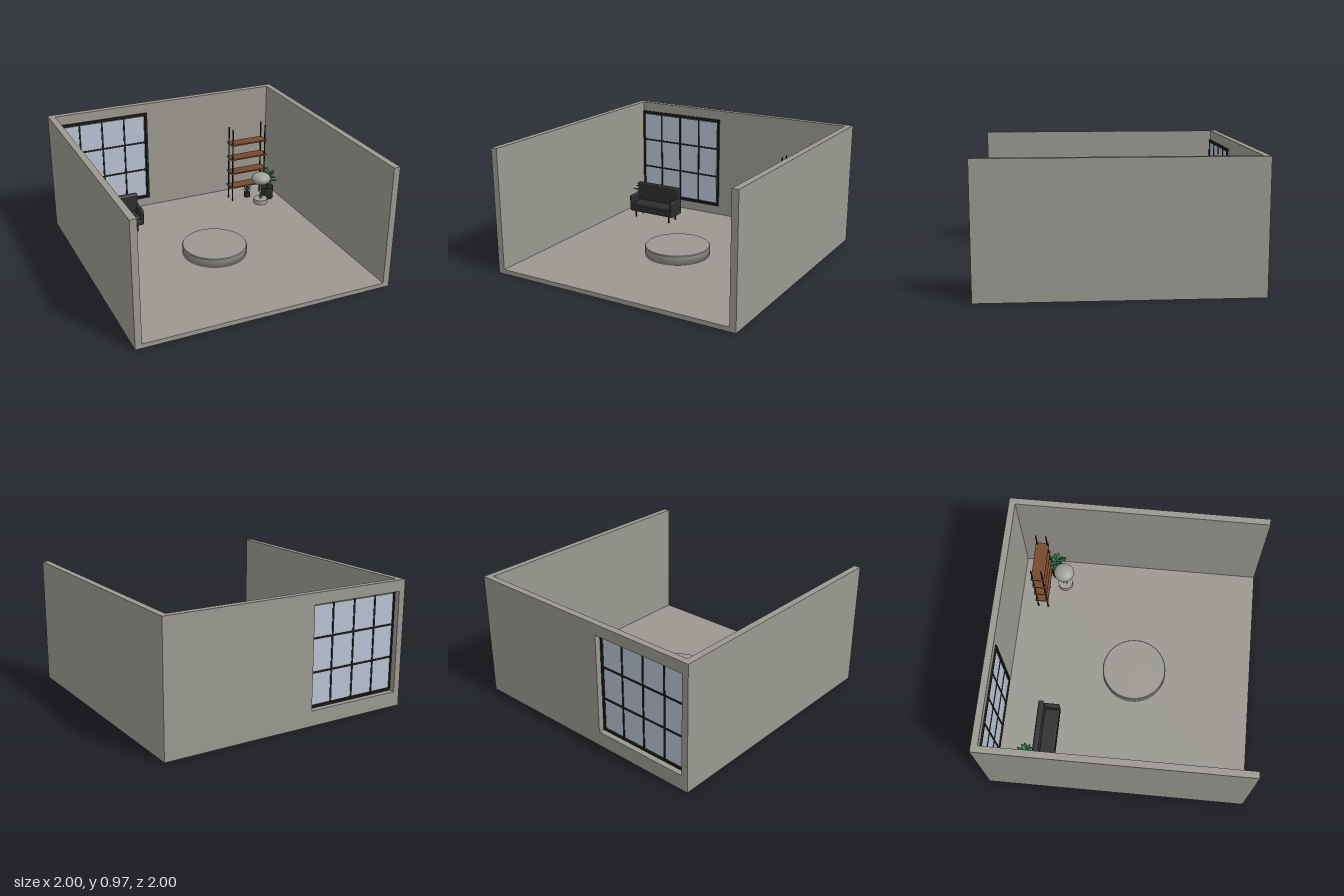
import * as THREE from 'three';
import { RoundedBoxGeometry } from 'three/addons/geometries/RoundedBoxGeometry.js';

const mat = (name, color) => Object.assign(new THREE.MeshStandardMaterial({ color }), { name });

export function createModel() {
  const concrete = mat('concrete', 0x9a9890);
  const glass = mat('paleGlass', 0xb8c2d3);
  const black = mat('blackMetal', 0x1c1c1a);
  const fabric = mat('charcoalFabric', 0x2d2d2e);
  const wood = mat('brownWood', 0x75492c);
  const green = mat('leafGreen', 0x256339);
  const potDark = mat('darkPot', 0x2b2b2a);
  const lampGrey = mat('lampGrey', 0x9f9d97);

  const model = new THREE.Group();
  const add = (name, geo, material, x, y, z, parent = model) => {
    const m = new THREE.Mesh(geo, material);
    m.name = name;
    m.position.set(x, y, z);
    parent.add(m);
    return m;
  };
  const group = (name, x = 0, y = 0, z = 0) => {
    const g = new THREE.Group();
    g.name = name;
    g.position.set(x, y, z);
    model.add(g);
    return g;
  };
  // Box given by its lower and upper corners
  const box = (name, material, [x0, x1], [y0, y1], [z0, z1], parent, radius = 0) => {
    const s = [x1 - x0, y1 - y0, z1 - z0];
    const geo = radius ? new RoundedBoxGeometry(...s, 2, radius) : new THREE.BoxGeometry(...s);
    return add(name, geo, material, (x0 + x1) / 2, (y0 + y1) / 2, (z0 + z1) / 2, parent);
  };

  // Room shell: floor, side walls and a back wall with a window opening
  const FLOOR = 0.035, TOP = 0.97, INNER = 0.95;
  const room = group('room');
  box('floor', concrete, [-INNER, INNER], [0, FLOOR], [-INNER, 1], room);
  for (const s of [-1, 1]) {
    add(s < 0 ? 'rightWall' : 'leftWall', new THREE.BoxGeometry(0.05, TOP, 2), concrete, s * 0.975, TOP / 2, 0, room);
  }
  const wall = new THREE.Shape([[-INNER, 0], [INNER, 0], [INNER, TOP], [-INNER, TOP]].map(p => new THREE.Vector2(...p)));
  const W = { x0: -0.95, x1: -0.18, y0: 0.115, y1: 0.885 };
  const hole = [[W.x0 + 0.001, W.y0], [W.x0 + 0.001, W.y1], [W.x1, W.y1], [W.x1, W.y0]];
  wall.holes.push(new THREE.Path(hole.map(p => new THREE.Vector2(...p))));
  add('backWall', new THREE.ExtrudeGeometry(wall, { depth: 0.05, bevelEnabled: false }), concrete, 0, 0, -1, room);

  // Window: outer frame, glazing bars and a pane set just inside the frame
  const win = group('window');
  const fz = [-0.958, -0.938];
  box('frameTop', black, [W.x0, -0.175], [0.872, 0.892], fz, win);
  box('frameBottom', black, [W.x0, -0.175], [0.11, 0.13], fz, win);
  box('frameRight', black, [W.x0, -0.941], [0.11, 0.892], fz, win);
  box('frameLeft', black, [-0.195, -0.175], [0.11, 0.892], fz, win);
  for (const x of [-0.76, -0.57, -0.38]) box('verticalBar', black, [x - 0.007, x + 0.007], [0.13, 0.872], [-0.957, -0.943], win);
  for (const y of [0.38, 0.63]) box('horizontalBar', black, [-0.941, -0.195], [y - 0.007, y + 0.007], [-0.957, -0.943], win);
  box('pane', glass, [-0.934, -0.202], [0.137, 0.865], [-0.953, -0.947], win);

  // Round platform with a softened top edge
  const disc = [[0, 0], [0.255, 0], [0.255, 0.07], [0.255, 0.07], [0.25, 0.076], [0.25, 0.076], [0, 0.076]];
  add('platform', new THREE.LatheGeometry(disc.map(p => new THREE.Vector2(...p)), 64), concrete, 0, FLOOR, 0.055);

  // Sofa
  const sofa = group('sofa');
  box('sofaBase', fabric, [-0.82, -0.385], [0.092, 0.14], [-0.66, -0.5], sofa, 0.012);
  box('seatCushion', fabric, [-0.79, -0.415], [0.135, 0.172], [-0.63, -0.503], sofa, 0.012);
  box('backrest', fabric, [-0.812, -0.393], [0.12, 0.325], [-0.66, -0.617], sofa, 0.014);
  box('rightArm', fabric, [-0.82, -0.79], [0.1, 0.232], [-0.655, -0.5], sofa, 0.011);
  box('leftArm', fabric, [-0.415, -0.385], [0.1, 0.232], [-0.655, -0.5], sofa, 0.011);
  for (const x of [-0.77, -0.435]) for (const z of [-0.635, -0.525]) {
    add('sofaLeg', new THREE.CylinderGeometry(0.006, 0.005, 0.065, 8), black, x, 0.067, z, sofa);
  }

  // Open shelf rack
  const rack = group('shelfRack');
  for (const y of [0.163, 0.297, 0.43, 0.563]) box('shelf', wood, [0.508, 0.842], [y - 0.006, y + 0.006], [-0.815, -0.71], rack);
  for (const x of [0.522, 0.828]) for (const z of [-0.803, -0.722]) {
    add('post', new THREE.CylinderGeometry(0.006, 0.006, 0.67, 8), black, x, 0.37, z, rack);
  }

  // Floor lamp: drum base, three thin rods and a flattened globe
  const lamp = group('lamp', 0.737, 0, -0.597);
  add('lampBase', new THREE.CylinderGeometry(0.06, 0.06, 0.04, 32), lampGrey, 0, 0.055, 0, lamp);
  for (let i = 0; i < 3; i++) {
    const a = i * Math.PI * 2 / 3;
    add('lampRod', new THREE.CylinderGeometry(0.003, 0.003, 0.16, 8), lampGrey, 0.015 * Math.cos(a), 0.15, 0.015 * Math.sin(a), lamp);
  }
  add('lampGlobe', new THREE.SphereGeometry(0.083, 32, 20), lampGrey, 0, 0.265, 0, lamp).scale.y = 0.64;

  // Potted plants: pot, stem and tiers of slim drooping leaves
  const leafGeo = new THREE.SphereGeometry(0.5, 8, 6);
  leafGeo.translate(0.5, 0, 0);
  const plant = (name, x, z, potR, potH, tiers, length, turn) => {
    const g = group(name, x, FLOOR, z);
    const rim = [[0, 0], [potR * 0.92, 0], [potR, potH], [potR * 0.88, potH], [potR * 0.85, potH * 0.88], [0, potH * 0.88]];
    add('pot', new THREE.LatheGeometry(rim.map(p => new THREE.Vector2(...p)), 20), potDark, 0, 0, 0, g);
    const top = tiers[tiers.length - 1];
    add('stem', new THREE.CylinderGeometry(length * 0.04, length * 0.06, top - potH * 0.8, 8), green, 0, (top + potH * 0.8) / 2, 0, g);
    tiers.forEach((y, t) => {
      for (let i = 0; i < 5; i++) {
        const reach = length * (1 - 0.09 * t) * (0.9 + 0.1 * Math.cos(i * 2.4 + t));
        const leaf = add('leaf', leafGeo, green, 0, y, 0, g);
        leaf.scale.set(reach, length * 0.09, length * 0.27);
        leaf.rotation.set(0, turn + i * Math.PI * 0.4 + t * 0.75, 0.05 + 0.13 * t, 'YXZ');
      }
    });
  };
  plant('rightPlant', -0.81, -0.71, 0.052, 0.102, [0.15, 0.188, 0.222], 0.105, 0.3);
  plant('leftPlant', 0.835, -0.67, 0.057, 0.107, [0.158, 0.195, 0.228], 0.112, 0.9);
  plant('smallPlant', 0.682, -0.755, 0.028, 0.045, [0.065, 0.083, 0.102], 0.05, 0.5);

  return model;
}
